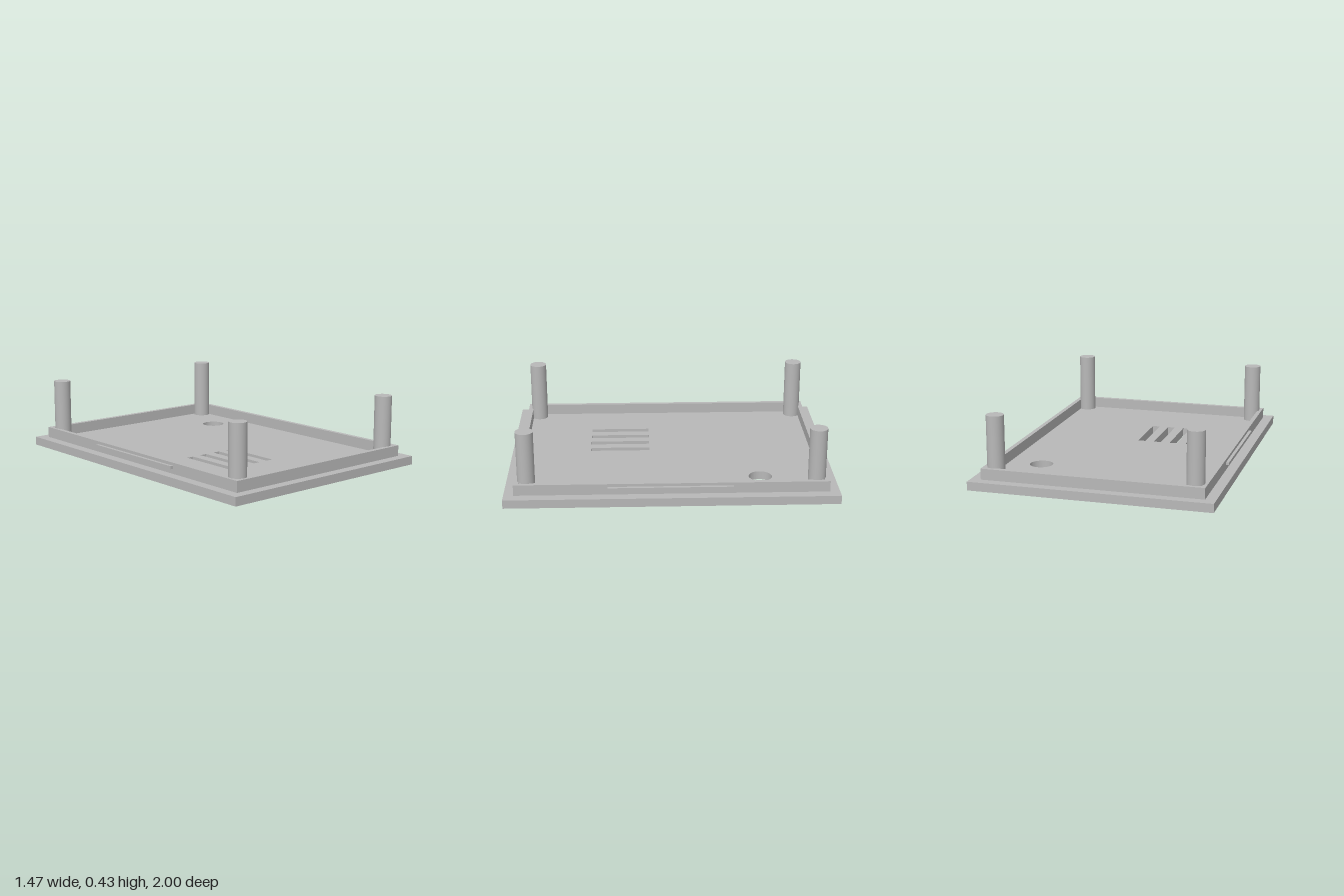
import * as THREE from 'three';

const PLATE_TOP = 0.053;
const LIP_TOP = 0.12;
const POST_TOP = 0.433;

// Closed rectangular outline, used for shapes and for holes
function rect(path, x0, y0, x1, y1) {
  path.moveTo(x0, y0);
  path.lineTo(x1, y0);
  path.lineTo(x1, y1);
  path.lineTo(x0, y1);
  path.closePath();
  return path;
}

// Extrude a plan (shape y = -z) upwards from y0 to y1
function slab(shape, y0, y1) {
  const geo = new THREE.ExtrudeGeometry(shape, { depth: y1 - y0, bevelEnabled: false, curveSegments: 48 });
  geo.rotateX(-Math.PI / 2);
  geo.translate(0, y0, 0);
  return geo;
}

export function createModel() {
  const model = new THREE.Group();
  model.name = 'enclosureLid';
  const grey = new THREE.MeshStandardMaterial({ color: 0xb8b8b8 });
  grey.name = 'grey plastic';

  const add = (name, geo, x = 0, y = 0, z = 0) => {
    const mesh = new THREE.Mesh(geo, grey);
    mesh.name = name;
    mesh.position.set(x, y, z);
    model.add(mesh);
  };

  // Base plate with a round hole and four vent slots
  const plate = rect(new THREE.Shape(), -0.733, -1, 0.733, 1);
  const hole = new THREE.Path();
  hole.absarc(0.437, 0.547, 0.071, 0, Math.PI * 2, true);
  plate.holes.push(hole);
  for (let i = 0; i < 4; i++) {
    const x = -0.352 + i * 0.106;
    plate.holes.push(rect(new THREE.Path(), x, -0.5, x + 0.047, -0.125));
  }
  add('basePlate', slab(plate, 0, PLATE_TOP));

  // Raised lip around the inside
  const lip = rect(new THREE.Shape(), -0.67, -0.94, 0.67, 0.94);
  lip.holes.push(rect(new THREE.Path(), -0.642, -0.91, 0.642, 0.91));
  add('lip', slab(lip, PLATE_TOP, LIP_TOP));

  // Snap ridges on both long sides of the lip
  const ridge = new THREE.BoxGeometry(0.03, 0.018, 0.746);
  add('leftSnapRidge', ridge, 0.674, 0.093, 0.01);
  add('rightSnapRidge', ridge, -0.674, 0.093, 0.01);

  // Corner posts
  const height = POST_TOP - PLATE_TOP;
  const post = new THREE.CylinderGeometry(0.053, 0.053, height, 48);
  for (const sx of [-1, 1]) {
    for (const sz of [-1, 1]) {
      const name = (sz > 0 ? 'front' : 'back') + (sx > 0 ? 'Left' : 'Right') + 'Post';
      add(name, post, sx * 0.6, PLATE_TOP + height / 2, sz * 0.867);
    }
  }

  return model;
}
